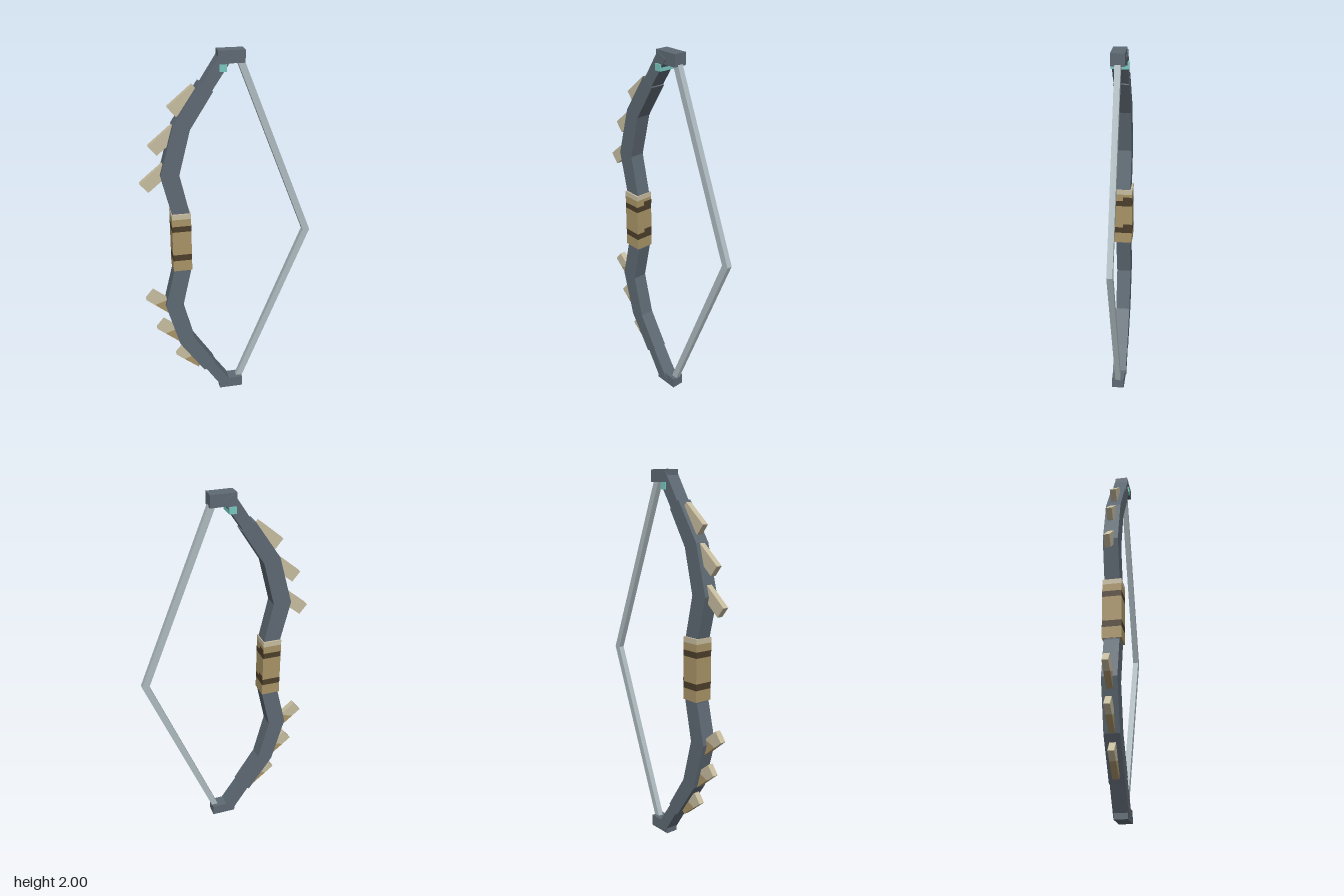
import * as THREE from 'three';

const mat = (name, color) => {
  const m = new THREE.MeshStandardMaterial({ color });
  m.name = name;
  return m;
};

export function createModel() {
  const bow = new THREE.Group();
  bow.name = 'bow';
  const steel = mat('slate steel', 0x5e6973);
  const cord = mat('pale cord', 0xaebbc0);
  const tan = mat('tan leather', 0xa89367);
  const brown = mat('dark brown leather', 0x4c3e2a);
  const cream = mat('cream feather', 0xc6bc9f);
  const teal = mat('teal gem', 0x78c8c0);

  const add = (name, geometry, material) => {
    const mesh = new THREE.Mesh(geometry, material);
    mesh.name = name;
    bow.add(mesh);
    return mesh;
  };
  // Flat outline extruded to a given depth, centred on z = 0
  const slab = (name, points, depth, material) => {
    const shape = new THREE.Shape(points.map(([x, y]) => new THREE.Vector2(x, y)));
    const g = new THREE.ExtrudeGeometry(shape, { depth, bevelEnabled: false });
    return add(name, g.translate(0, 0, -depth / 2), material);
  };
  const box = (name, x0, x1, y0, y1, z0, z1, material) =>
    add(name, new THREE.BoxGeometry(x1 - x0, y1 - y0, z1 - z0), material)
      .position.set((x0 + x1) / 2, (y0 + y1) / 2, (z0 + z1) / 2);

  for (const upper of [true, false]) {
    const side = upper ? 'upper' : 'lower';
    const place = (pts) => pts.map(([x, y]) => [x, upper ? y : 2 - y]);

    // Bent limb and its slimmer end
    slab(side + 'Limb', place([
      [-0.305, 1.0], [-0.305, 1.17], [-0.357, 1.385], [-0.285, 1.645], [-0.147, 1.85],
      [-0.082, 1.805], [-0.2, 1.62], [-0.26, 1.385], [-0.212, 1.17], [-0.212, 1.0],
    ]), 0.08, steel);
    slab(side + 'LimbEnd', place([
      [-0.165, 1.8], [-0.04, 1.993], [0.018, 1.965], [-0.11, 1.775],
    ]), 0.078, steel);

    // Block that holds the string
    const [b0, b1] = upper ? [1.937, 2] : [0, 0.063];
    box(side + 'TipBlock', -0.055, 0.08, b0, b1, -0.035, 0.035, steel);

    // Half of the drawn string
    slab(side + 'String', place([
      [0.041, 1.95], [0.078, 1.95], [0.457, 1.0], [0.418, 1.0],
    ]), 0.03, cord);

    // Feather planks, the lower ones with tan roots
    const c = Math.cos(0.69), s = Math.sin(0.69), h = 0.033;
    [[-0.286, 1.708], [-0.389, 1.515], [-0.441, 1.318]].forEach(([tx, ty], i) => {
      const local = (pts) => place(pts.map(([u, v]) => [tx + u * c - v * s, ty + u * s + v * c]));
      const name = side + 'Feather' + (i + 1);
      if (upper) {
        slab(name, local([[0, -h], [0.165, -h], [0.165, h], [0, h]]), 0.032, cream);
      } else {
        slab(name, local([[0, -h], [0.1, -h], [0.06, h], [0, h]]), 0.032, cream);
        slab(name + 'Root', local([[0.1, -h], [0.165, -h], [0.165, h], [0.06, h]]), 0.032, tan);
      }
    });
  }

  // Wrapped grip, stacked in bands
  [[0.838, 0.9, tan], [0.9, 0.935, brown], [0.935, 1.07, tan],
    [1.07, 1.102, brown], [1.102, 1.142, tan], [1.142, 1.17, cream]].forEach(([y0, y1, m], i) =>
    box('gripBand' + (i + 1), -0.308, -0.207, y0, y1, -0.05, 0.05, m));
  // Wrap steps on the string side
  for (const [y0, y1] of [[0.935, 0.955], [1.102, 1.125]])
    box('gripWrapStep', -0.208, -0.205, y0, y1, -0.05, 0, brown);

  // Small gem through the upper limb
  box('gem', -0.05, -0.013, 1.9, 1.935, -0.045, 0.045, teal);

  return bow;
}
